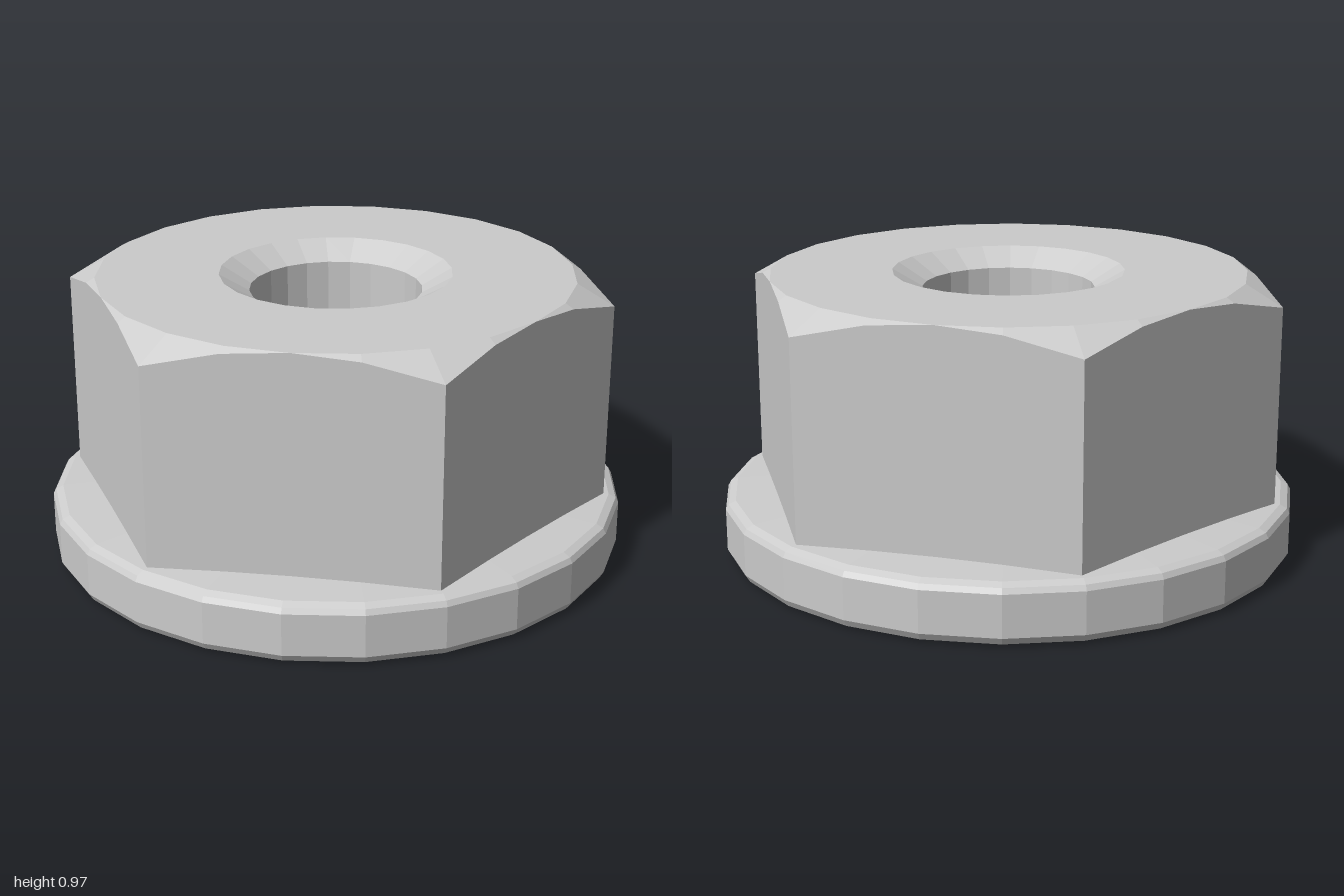
import * as THREE from 'three';

const SIDES = 24;
const APOTHEM = 0.82; // half the width across the hexagon's flats
const TOP = 0.972;

const material = new THREE.MeshStandardMaterial({ color: 0xcccccc, flatShading: true });

function lathe(name, profile) {
  const points = profile.map(([r, y]) => new THREE.Vector2(r, y));
  const mesh = new THREE.Mesh(new THREE.LatheGeometry(points, SIDES), material);
  mesh.name = name;
  return mesh;
}

// Distance from the axis to the hexagon's side; flats face +z and -z
function hexRadius(angle) {
  const step = Math.PI / 3;
  return APOTHEM / Math.cos(angle - Math.round(angle / step) * step);
}

export function createModel() {
  const nut = new THREE.Group();
  nut.name = 'flangeNut';

  // Washer-like flange with rounded rim and slightly conical top
  nut.add(lathe('flange', [
    [0.40, 0], [0.96, 0], [0.985, 0.01], [1, 0.035],
    [1, 0.18], [0.99, 0.198], [0.965, 0.21], [0.80, 0.222],
  ]));

  // Hexagonal body: two rings pushed out to the hexagon, the upper one
  // dipping along a 30 degree cone so the corners are chamfered
  const body = lathe('hexBody', [[1, 0.19], [1, TOP], [APOTHEM, TOP], [0.40, TOP]]);
  const pos = body.geometry.attributes.position;
  for (let i = 0; i < pos.count; i++) {
    const ring = i % 4;
    if (ring > 1) continue;
    const angle = Math.atan2(pos.getX(i), pos.getZ(i));
    const r = hexRadius(angle);
    const y = ring === 0 ? 0.19 : TOP - (r - APOTHEM) * Math.tan(Math.PI / 6);
    pos.setXYZ(i, r * Math.sin(angle), y, r * Math.cos(angle));
  }
  nut.add(body);

  // Through hole, countersunk at both ends
  nut.add(lathe('bore', [[0.40, TOP], [0.297, TOP - 0.06], [0.297, 0.06], [0.40, 0]]));

  return nut;
}
